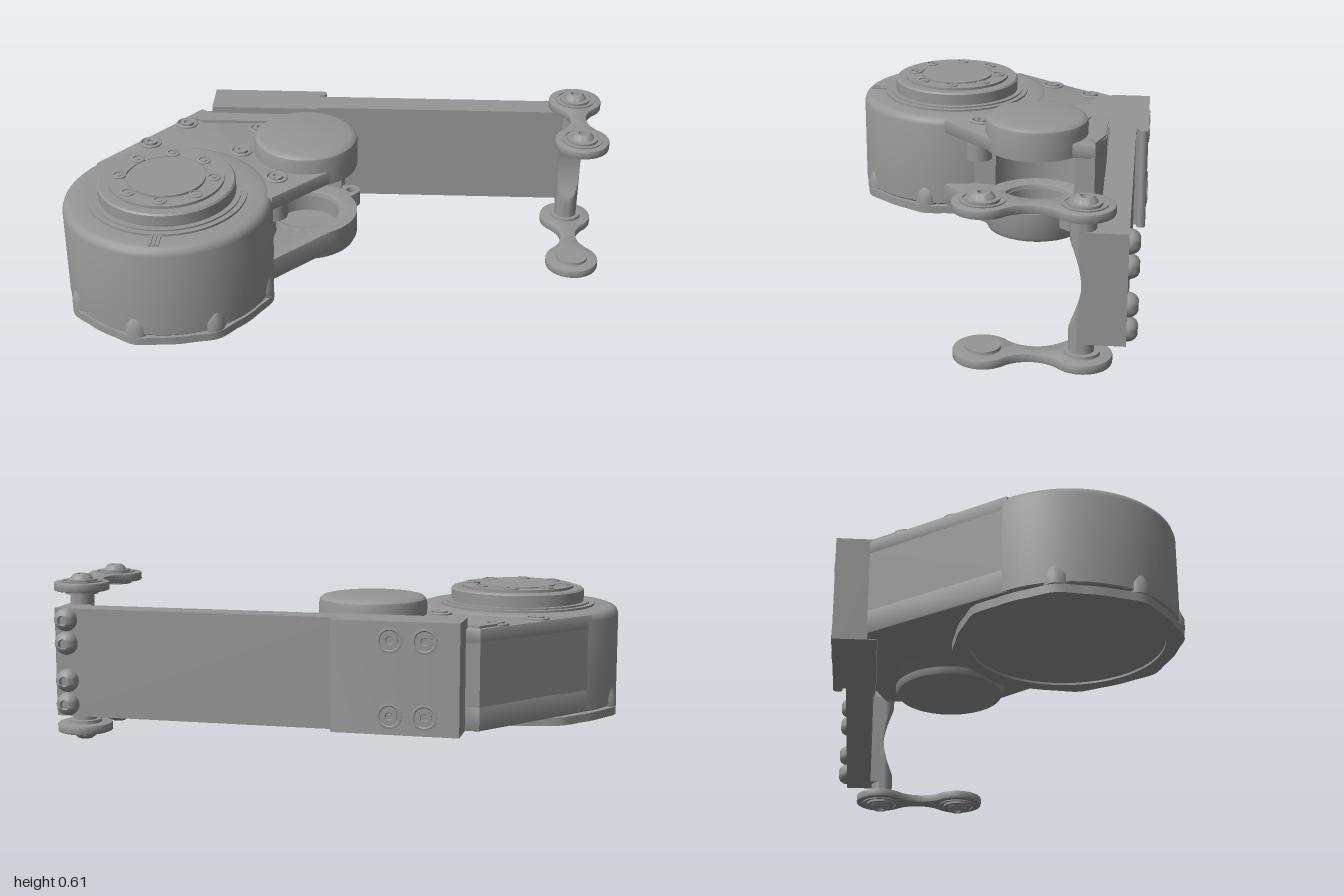
import * as THREE from 'three';
import { toCreasedNormals } from 'three/addons/utils/BufferGeometryUtils.js';

const DRUM = [-0.62, 0.2];   // x, z of the main drum axis
const CAP = [-0.14, -0.17];  // x, z of the side bearing axis
const LINK_X = 0.895, POST_Z = -0.405, PIN_Z = -0.08;

export function createModel() {
  const root = new THREE.Group();
  const metal = new THREE.MeshStandardMaterial({ color: 0x969696 });
  metal.name = 'grey metal';

  const add = (name, geo, x = 0, y = 0, z = 0, parent = root) => {
    const m = new THREE.Mesh(geo, metal);
    m.name = name;
    m.position.set(x, y, z);
    parent.add(m);
    return m;
  };
  const box = (name, x0, x1, y0, y1, z0, z1) =>
    add(name, new THREE.BoxGeometry(x1 - x0, y1 - y0, z1 - z0), (x0 + x1) / 2, (y0 + y1) / 2, (z0 + z1) / 2);
  const lathe = (pts, seg = 64) =>
    toCreasedNormals(new THREE.LatheGeometry(pts.map(p => new THREE.Vector2(...p)), seg), 0.6);
  // Upright slab from a plan shape whose y is -z
  const slab = (shape, y0, y1, bevel = 0) => {
    const g = new THREE.ExtrudeGeometry(shape, {
      depth: y1 - y0 - 2 * bevel, bevelEnabled: bevel > 0, bevelSize: bevel, bevelThickness: bevel,
      bevelOffset: -bevel, bevelSegments: 2, curveSegments: 24,
    });
    g.rotateX(-Math.PI / 2).translate(0, y0 + bevel, 0);
    return toCreasedNormals(g, 0.6);
  };
  const plan = pts => new THREE.Shape(pts.map(([x, z]) => new THREE.Vector2(x, -z)));
  const arc = ([cx, cz], r, a0, a1, n = 20) => Array.from({ length: n + 1 }, (_, i) => {
    const a = (a0 + (a1 - a0) * i / n) * Math.PI / 180;
    return [cx + r * Math.cos(a), cz + r * Math.sin(a)];
  });

  // Main drum with rounded shoulder
  add('drum', lathe([[0, 0.11], [0.375, 0.11], [0.38, 0.115], [0.38, 0.44], [0.375, 0.455],
    [0.365, 0.465], [0.35, 0.47], [0.29, 0.47], [0.29, 0.478], [0, 0.478]], 72), DRUM[0], 0, DRUM[1]);

  // Base cover, widened at eight bosses
  const coverPts = Array.from({ length: 96 }, (_, i) => {
    const deg = i * 3.75, d = Math.abs(((deg - 13 + 382.5) % 45) - 22.5);
    const a = deg * Math.PI / 180, r = 0.378 + 0.017 * Math.max(0, 1 - d / 12);
    return [DRUM[0] + r * Math.cos(a), DRUM[1] + r * Math.sin(a)];
  });
  const cover = plan(coverPts);
  cover.holes.push(plan(arc(DRUM, 0.33, 360, 0, 60)));
  add('baseCover', slab(cover, 0.072, 0.102));
  add('basePlate', new THREE.CylinderGeometry(0.34, 0.34, 0.03, 64), DRUM[0], 0.095, DRUM[1]);
  for (let k = 0; k < 8; k++) {
    const a = (13 + 45 * k) * Math.PI / 180;
    if (k >= 5 && k <= 6) continue;
    add('baseBoss', lathe([[0, 0.105], [0.045, 0.105], [0.045, 0.14], [0.03, 0.175], [0, 0.205]], 20),
      DRUM[0] + 0.35 * Math.cos(a), 0, DRUM[1] + 0.35 * Math.sin(a));
  }

  // Turntable with stepped flange, raised centre and screws
  add('turntable', lathe([[0.27, 0.47], [0.27, 0.484], [0.25, 0.484], [0.25, 0.527], [0.244, 0.533],
    [0.21, 0.533], [0.21, 0.543], [0.15, 0.543], [0.15, 0.536], [0.142, 0.536], [0.142, 0.546], [0, 0.546]]),
    DRUM[0], 0, DRUM[1]);
  const screw = [[0.026, 0], [0.026, 0.004], [0.019, 0.006], [0.019, 0.002], [0.009, 0.002], [0.009, 0.005], [0, 0.005]];
  for (let k = 0; k < 8; k++) {
    const a = k * Math.PI / 4;
    add('turntableScrew', lathe(screw, 16), DRUM[0] + 0.172 * Math.cos(a), 0.543, DRUM[1] + 0.172 * Math.sin(a));
  }
  for (const dx of [-0.014, 0, 0.014])
    box('indexMark', DRUM[0] + dx - 0.005, DRUM[0] + dx + 0.005, 0.465, 0.476, 0.49, 0.555);

  // Housing: upper and lower arms around a wall with a round pocket
  const back = [[0, -0.4], [-0.1, -0.44], [-0.53, -0.44], [-0.53, -0.475], [-0.58, -0.475], [-0.921, -0.031], DRUM];
  const armPlan = () => plan([[-0.24, 0.2], ...arc(CAP, 0.19, 45, -45), ...back]);
  add('upperArm', slab(armPlan(), 0.41, 0.466, 0.006));
  const lower = armPlan();
  lower.holes.push(plan(arc(CAP, 0.13, 360, 0, 40)));
  add('lowerArm', slab(lower, 0.11, 0.2, 0.006));
  add('housingWall', slab(plan([[-0.26, 0.1], ...arc(CAP, 0.2, 122, 310, 30), ...back]), 0.19, 0.42));
  add('housingRidge', slab(plan([[-0.635, -0.385], [-0.58, -0.385], [-0.56, -0.37], [-0.06, -0.38], [0, -0.4],
    [-0.1, -0.435], [-0.53, -0.44], [-0.575, -0.465]]), 0.46, 0.475));
  add('screwPost', new THREE.CylinderGeometry(0.05, 0.05, 0.1, 24), -0.245, 0.362, 0.065);

  // Side bearing caps, the lower one hollow on top
  add('upperCap', lathe([[0, 0.41], [0.197, 0.41], [0.197, 0.505], [0.193, 0.522], [0.183, 0.531], [0.17, 0.534], [0, 0.534]]),
    CAP[0], 0, CAP[1]);
  add('lowerCap', lathe([[0, 0.08], [0.172, 0.08], [0.188, 0.087], [0.197, 0.105], [0.197, 0.2], [0.15, 0.2],
    [0.15, 0.185], [0.125, 0.185], [0.125, 0.12], [0, 0.12]]), CAP[0], 0, CAP[1]);
  const lug = plan([[-0.03, -0.36], ...arc([0.028, -0.325], 0.036, -110, 60, 14), [0.01, -0.25]]);
  lug.holes.push(plan(arc([0.028, -0.325], 0.019, 360, 0, 16)));
  add('lug', slab(lug, 0.14, 0.2));

  // Housing screws
  const bolt = [[0.043, 0], [0.043, 0.006], [0.035, 0.009], [0.032, 0.003], [0.026, 0.003], [0.026, 0.012],
    [0.013, 0.012], [0.011, 0.005], [0, 0.005]];
  for (const [x, z] of [[-0.62, -0.355], [-0.33, -0.325], [-0.74, -0.19], [-0.385, -0.14], [-0.235, 0.055]])
    add('housingScrew', lathe(bolt, 24), x, 0.465, z);

  // Rail, its clamp block and backing plate
  box('rail', -0.12, 0.94, 0.11, 0.5, -0.548, -0.45);
  box('clampBlock', -0.53, -0.11, 0.11, 0.5, -0.565, -0.44);
  add('backingPlate', slab(plan([[-0.53, -0.56], [-0.53, -0.594], ...arc([-0.097, -0.577], 0.017, -90, 90, 8)]), 0.11, 0.5));
  for (const x of [-0.41, -0.29]) for (const y of [0.175, 0.435])
    add('plateBolt', lathe(bolt.map(([r, h]) => [r * 1.05, h * 0.5]), 24), x, y, -0.593).rotation.x = -Math.PI / 2;

  // Dome bolts through the rail end
  const dome = [[0.042, 0], [0.042, 0.006], [0.038, 0.019], [0.03, 0.03], [0.018, 0.036], [0.016, 0.022], [0, 0.022]];
  for (const y of [0.155, 0.24, 0.375, 0.46])
    add('railBolt', lathe(dome, 24), 0.897, y, -0.548).rotation.x = -Math.PI / 2;

  // Upright post, scooped on the front
  box('postMount', 0.853, 0.94, 0.11, 0.5, -0.452, -0.41);
  const postGeo = new THREE.CylinderGeometry(0.043, 0.043, 0.48, 32, 48);
  const p = postGeo.attributes.position;
  for (let i = 0; i < p.count; i++)
    p.setZ(i, Math.min(p.getZ(i), 0.002 + 0.042 * (p.getY(i) / 0.155) ** 2));
  add('post', toCreasedNormals(postGeo, 0.6), LINK_X, 0.306, POST_Z + 0.003);

  // Links: waisted plates with washers and pins, mirrored top and bottom
  const h = (PIN_Z - POST_Z) / 2, R = 0.1236, c = 0.1536, a = Math.atan2(h, c), PI = Math.PI;
  const linkShape = new THREE.Shape();
  linkShape.absarc(0, -h, 0.1, PI - a, 2 * PI + a, false);
  linkShape.absarc(c, 0, R, PI + a, PI - a, true);
  linkShape.absarc(0, h, 0.1, -a, PI + a, false);
  linkShape.absarc(-c, 0, R, a, -a, true);
  const linkGeo = slab(linkShape, 0, 0.032, 0.005);
  const pinGeo = lathe([[0, -0.012], [0.06, -0.012], [0.06, 0], [0.076, 0.031], [0.076, 0.036], [0.066, 0.036],
    [0.066, 0.032], [0.057, 0.032], [0.057, 0.041], [0.042, 0.041], [0.036, 0.052], [0.026, 0.06], [0.016, 0.06],
    [0.013, 0.046], [0, 0.046]], 32);
  for (const top of [true, false]) {
    const g = new THREE.Group();
    g.name = top ? 'upperLink' : 'lowerLink';
    g.position.set(LINK_X, top ? 0.549 : 0.06, (POST_Z + PIN_Z) / 2);
    if (!top) g.rotation.z = PI;
    add('linkPlate', linkGeo, 0, 0, 0, g);
    for (const z of [-h, h]) add('linkPin', pinGeo, 0, 0, z, g);
    root.add(g);
  }
  return root;
}
